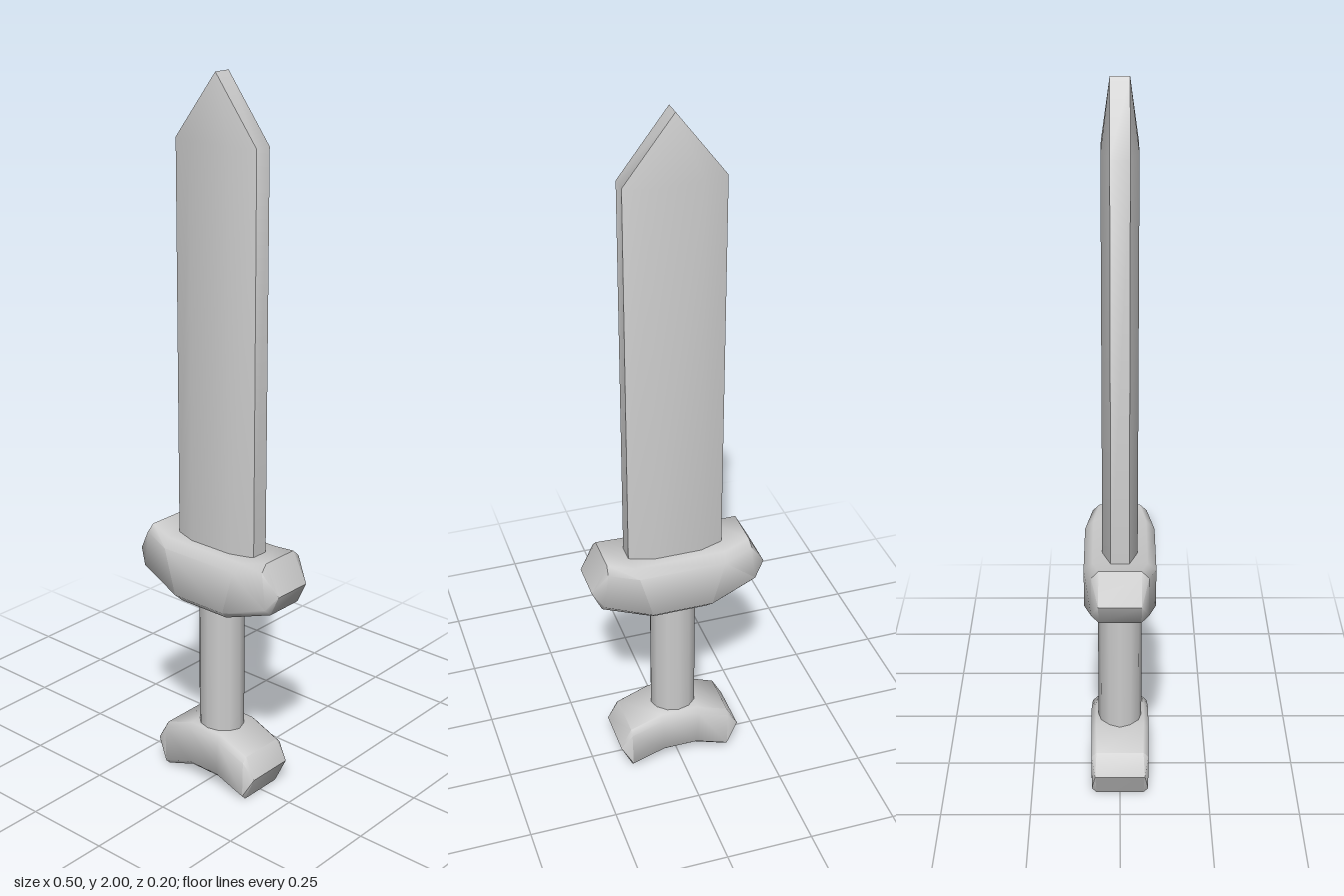
import * as THREE from 'three';
import { toCreasedNormals } from 'three/addons/utils/BufferGeometryUtils.js';

const material = new THREE.MeshStandardMaterial({ color: 0xcccccc });

function addMesh(group, name, geometry) {
  const mesh = new THREE.Mesh(geometry, material);
  mesh.name = name;
  group.add(mesh);
  return mesh;
}

// Skin a list of equal-length rings of Vector3 and cap both ends.
function loft(rings) {
  const positions = [];
  const tri = (a, b, c) => {
    const area = b.clone().sub(a).cross(c.clone().sub(a)).length();
    if (area > 1e-8) positions.push(...a.toArray(), ...b.toArray(), ...c.toArray());
  };
  const n = rings[0].length;
  for (let i = 0; i < rings.length - 1; i++) {
    for (let j = 0; j < n; j++) {
      const k = (j + 1) % n;
      tri(rings[i][j], rings[i][k], rings[i + 1][k]);
      tri(rings[i][j], rings[i + 1][k], rings[i + 1][j]);
    }
  }
  const last = rings[rings.length - 1];
  for (let j = 1; j < n - 1; j++) {
    tri(rings[0][0], rings[0][j + 1], rings[0][j]);
    tri(last[0], last[j], last[j + 1]);
  }
  const geometry = new THREE.BufferGeometry();
  geometry.setAttribute('position', new THREE.Float32BufferAttribute(positions, 3));
  return toCreasedNormals(geometry, 0.9);
}

// Bevelled bar lofted along x, mirrored from sections given on the +x half.
// Each section: top [x, y], bottom [x, y], half depth d, bevel c.
function bevelledBar(half) {
  const ring = ({ top, bottom, d, c }, side) => {
    const t = new THREE.Vector3(top[0] * side, top[1], 0);
    const b = new THREE.Vector3(bottom[0] * side, bottom[1], 0);
    const inset = c / Math.max(t.distanceTo(b), 0.001);
    const at = (f, z) => t.clone().lerp(b, f).setZ(z);
    return [
      at(0, c - d), at(0, d - c), at(inset, d), at(1 - inset, d),
      at(1, d - c), at(1, c - d), at(1 - inset, -d), at(inset, -d),
    ];
  };
  return loft([
    ...half.map((s) => ring(s, -1)),
    ...half.slice().reverse().map((s) => ring(s, 1)),
  ]);
}

// Blade: flattened octagon that closes to a short ridge at the point.
function bladeGeometry() {
  const section = [
    [0.135, 0.025], [0.135, -0.025], [0.068, -0.048], [-0.068, -0.048],
    [-0.135, -0.025], [-0.135, 0.025], [-0.068, 0.048], [0.068, 0.048],
  ];
  const straight = (y) => section.map(([x, z]) => new THREE.Vector3(x, y, z));
  const tip = section.map(([, z]) => new THREE.Vector3(0, 2, Math.sign(z) * 0.025));
  return loft([straight(0.69), straight(1.825), tip]);
}

export function createModel() {
  const sword = new THREE.Group();
  sword.name = 'sword';

  addMesh(sword, 'blade', bladeGeometry());

  // Crossguard: upturned ends, bulging underside
  addMesh(sword, 'crossguard', bevelledBar([
    { top: [0.25, 0.66], bottom: [0.25, 0.66], d: 0.058, c: 0 },
    { top: [0.205, 0.745], bottom: [0.222, 0.6], d: 0.077, c: 0.02 },
    { top: [0.13, 0.73], bottom: [0.08, 0.553], d: 0.098, c: 0.024 },
  ]));

  // Grip: slightly oval rod
  const grip = addMesh(sword, 'grip', new THREE.CylinderGeometry(0.066, 0.066, 0.46, 12));
  grip.position.y = 0.37;
  grip.scale.z = 0.93;

  // Pommel: arched bar with drooping ends
  addMesh(sword, 'pommel', bevelledBar([
    { top: [0.18, 0.08], bottom: [0.18, 0.08], d: 0.07, c: 0 },
    { top: [0.148, 0.14], bottom: [0.145, 0.005], d: 0.08, c: 0.014 },
    { top: [0.055, 0.175], bottom: [0.05, 0.04], d: 0.082, c: 0.014 },
  ]));

  return sword;
}
